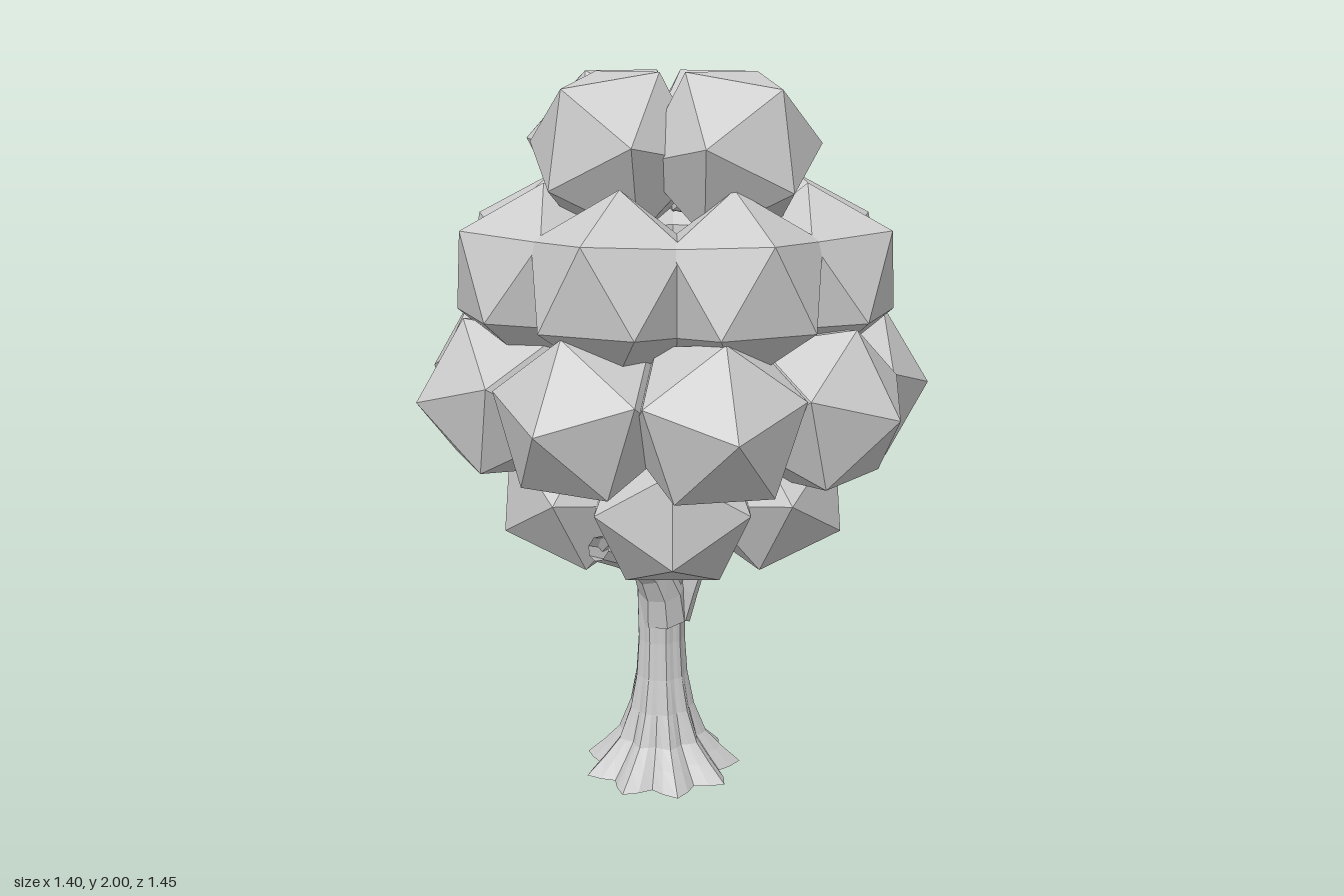
import * as THREE from 'three';

const rad = THREE.MathUtils.degToRad;
const mat = new THREE.MeshStandardMaterial({ color: 0xcccccc, flatShading: true, side: THREE.DoubleSide });

// Rings of leaf clumps: a corner of each clump faces outward, then it is rolled and lifted
const rings = [
  { name: 'lowerLeaves', count: 5, start: 20, rx: 0.275, rz: 0.275, center: [-0.01, 0.865, 0], size: 0.24, lift: -27, roll: 0 },
  { name: 'middleLeaves', count: 9, start: 0, rx: 0.465, rz: 0.5, center: [0, 1.14, -0.02], size: 0.245, lift: 0, roll: 0 },
  { name: 'upperLeaves', count: 8, start: 16, rx: 0.395, rz: 0.4, center: [0, 1.465, 0], size: 0.247, lift: 31.72, roll: 0 },
  { name: 'crownLeaves', count: 4, start: -10, rx: 0.18, rz: 0.23, center: [-0.02, 1.79, 0], size: 0.245, lift: 42, roll: 180 },
];

function leafRing({ name, count, start, rx, rz, center, size, lift, roll }) {
  const ring = new THREE.Group();
  ring.name = name;
  ring.position.set(...center);
  for (let i = 0; i < count; i++) {
    const a = rad(start + (i * 360) / count);
    const geo = new THREE.IcosahedronGeometry(size, 0);
    geo.rotateX(-rad(31.72)).rotateZ(rad(roll)).rotateX(-rad(lift)).rotateY(a);
    const clump = new THREE.Mesh(geo, mat);
    clump.name = 'leafClump';
    clump.position.set(rx * Math.sin(a), 0, rz * Math.cos(a));
    ring.add(clump);
  }
  return ring;
}

// Trunk: lathe whose radius is fluted into roots, strongest at the ground
function trunk() {
  const profile = [[0.205, 0], [0.16, 0.05], [0.12, 0.1], [0.09, 0.19], [0.073, 0.29], [0.066, 0.4], [0.068, 0.5], [0.07, 0.6], [0.04, 0.65]];
  const geo = new THREE.LatheGeometry(profile.map(([r, y]) => new THREE.Vector2(r, y)), 36);
  const p = geo.attributes.position;
  for (let i = 0; i < p.count; i++) {
    const x = p.getX(i), y = p.getY(i), z = p.getZ(i);
    const flute = 1 + (0.04 + 0.09 * Math.max(0, 1 - y / 0.25)) * Math.cos(9 * Math.atan2(x, z));
    p.setXYZ(i, x * flute, y, z * flute);
  }
  const mesh = new THREE.Mesh(geo, mat);
  mesh.name = 'trunk';
  mesh.position.x = -0.065;
  return mesh;
}

// Branch: tube along a curve, narrowing toward its tip
function branch(name, points, r0, r1) {
  const curve = new THREE.CatmullRomCurve3(points.map((q) => new THREE.Vector3(...q)));
  const steps = 5, sides = 8;
  const geo = new THREE.TubeGeometry(curve, steps, 1, sides);
  const p = geo.attributes.position, v = new THREE.Vector3();
  for (let i = 0; i < p.count; i++) {
    const t = Math.floor(i / (sides + 1)) / steps;
    const c = curve.getPointAt(t);
    v.fromBufferAttribute(p, i).sub(c).multiplyScalar(r0 + (r1 - r0) * t).add(c);
    p.setXYZ(i, v.x, v.y, v.z);
  }
  const mesh = new THREE.Mesh(geo, mat);
  mesh.name = name;
  return mesh;
}

export function createModel() {
  const tree = new THREE.Group();
  tree.name = 'tree';
  tree.add(trunk());
  tree.add(branch('rightBranch', [[-0.065, 0.47, 0.01], [-0.095, 0.58, 0.02], [-0.17, 0.67, 0.02], [-0.36, 0.75, 0.02]], 0.074, 0.035));
  tree.add(branch('leftBranch', [[-0.055, 0.47, 0.01], [-0.005, 0.57, 0.02], [0.065, 0.66, 0.02], [0.18, 0.8, 0.02]], 0.074, 0.045));
  for (const ring of rings) tree.add(leafRing(ring));
  return tree;
}
